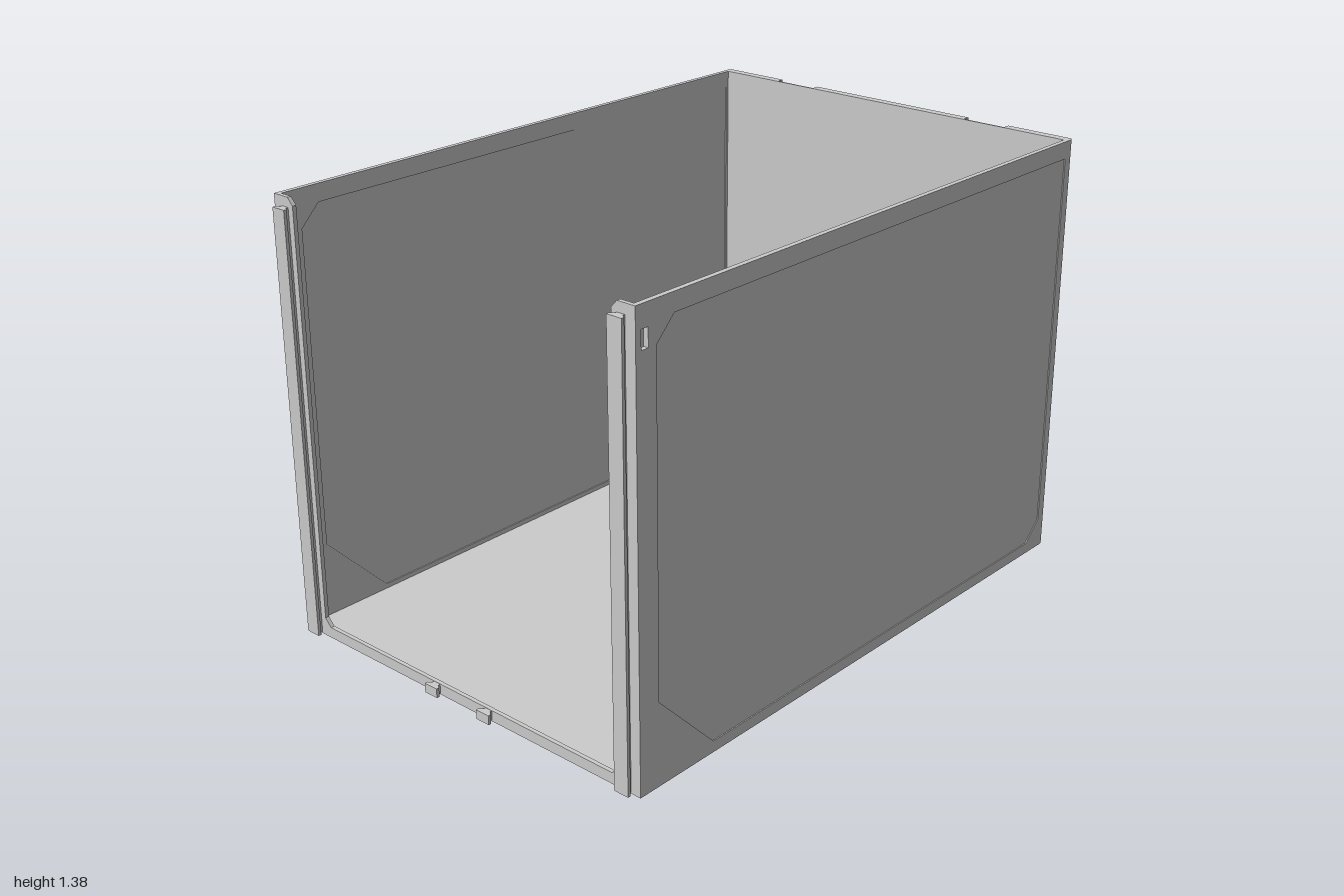
import * as THREE from 'three';

const HX = 0.69, H = 1.385, FRONT = 0.975, BACK = -1;
const mat = new THREE.MeshStandardMaterial({ color: 0xcccccc, flatShading: true });
const smooth = new THREE.MeshStandardMaterial({ color: 0xcccccc });

const toShape = (pts) => new THREE.Shape(pts.map(([a, b]) => new THREE.Vector2(a, b)));
const rect = (x0, x1, y0, y1) => [[x0, y0], [x1, y0], [x1, y1], [x0, y1]];

function add(parent, name, geometry, x = 0, y = 0, z = 0, material = mat) {
  const mesh = new THREE.Mesh(geometry, material);
  mesh.name = name;
  mesh.position.set(x, y, z);
  parent.add(mesh);
  return mesh;
}

function extrude(outline, holes, depth) {
  const shape = toShape(outline);
  for (const hole of holes) shape.holes.push(toShape(hole));
  return new THREE.ExtrudeGeometry(shape, { depth, bevelEnabled: false });
}

function box(parent, name, x0, x1, y0, y1, z0, z1) {
  return add(parent, name, new THREE.BoxGeometry(x1 - x0, y1 - y0, z1 - z0),
    (x0 + x1) / 2, (y0 + y1) / 2, (z0 + z1) / 2);
}

// Pocket liner: four sloping sides and a floor, open towards the back
function pocketGeometry([x0, x1, y0, y1], slope, depth) {
  const rim = rect(x0, x1, y0, y1).map(([x, y]) => [x, y, BACK]);
  const floor = rect(x0 + slope, x1 - slope, y0 + slope, y1 - slope)
    .map(([x, y]) => [x, y, BACK + depth]);
  const tris = [floor[0], floor[2], floor[1], floor[0], floor[3], floor[2]];
  for (let i = 0; i < 4; i++) {
    const j = (i + 1) % 4;
    tris.push(rim[i], floor[j], rim[j], rim[i], floor[i], floor[j]);
  }
  const g = new THREE.BufferGeometry();
  g.setAttribute('position', new THREE.Float32BufferAttribute(tris.flat(), 3));
  g.computeVertexNormals();
  return g;
}

// Dovetail bar, narrow at the panel and wide at its front, extruded upwards
function dovetailGeometry(width, height) {
  const w = width / 2, n = w - 0.012;
  const g = extrude([[-n, -FRONT + 0.002], [n, -FRONT + 0.002], [n, -0.982],
    [w, -0.99], [w, -1], [-w, -1], [-w, -0.99], [-n, -0.982]], [], height);
  return g.rotateX(-Math.PI / 2);
}

export function createModel() {
  const model = new THREE.Group();
  model.name = 'openBin';

  // Floor
  box(model, 'floor', -HX + 0.01, HX - 0.01, 0, 0.02, -0.98, 0.97);

  // Side walls: frame, slightly sunken panel and finger slot
  const wallT = 0.016, panelT = 0.009;
  const panel = [[0.9, 1.265], [0.835, 1.33], [-0.96, 1.33], [-0.96, 0.1],
    [-0.895, 0.035], [0.68, 0.035], [0.9, 0.26]];
  const slot = rect(0.93, 0.955, 1.265, 1.32);
  const frameGeo = extrude(rect(-0.985, 0.965, 0, H), [panel, slot], wallT).rotateY(-Math.PI / 2);
  const panelGeo = extrude(panel, [], panelT).rotateY(-Math.PI / 2);
  for (const side of [1, -1]) {
    const tag = side > 0 ? 'left' : 'right';
    const mid = side * (HX - wallT / 2);
    add(model, tag + 'WallFrame', frameGeo, mid + wallT / 2);
    add(model, tag + 'WallPanel', panelGeo, mid + panelT / 2);
    add(model, tag + 'BackCorner', new THREE.CylinderGeometry(0.015, 0.015, H, 24),
      side * (HX - 0.015), H / 2, -0.985, smooth);
  }

  // Back wall: ribbed frame with two open notches at the top
  const pockets = [
    [0.475, 0.672, 0.02, 1.345], [-0.672, -0.475, 0.02, 1.345],
    [0.3, 0.46, 0.02, 1.165], [-0.46, -0.3, 0.02, 1.165],
    [-0.285, 0.285, 0.02, 1.345],
  ];
  const pocketDepth = 0.024, e = HX - 0.015;
  const outline = [[-e, 0], [e, 0], [e, H], [0.455, H], [0.455, 1.2], [0.305, 1.2], [0.305, H],
    [-0.305, H], [-0.305, 1.2], [-0.455, 1.2], [-0.455, H], [-e, H]];
  add(model, 'backRibs', extrude(outline, pockets.map((p) => rect(...p)), pocketDepth + 0.001), 0, 0, BACK);
  for (const p of pockets) add(model, 'backPocket', pocketGeometry(p, 0.033, pocketDepth));
  box(model, 'backSheet', -e, e, 0, H, BACK + pocketDepth + 0.0005, -0.97);

  // Catch plates inside the notches
  for (const side of [1, -1]) {
    const c = side * 0.38;
    box(model, 'catchPlate', c - 0.076, c + 0.076, 1.19, H - 0.012, -0.986, -0.974);
    box(model, 'catchLedge', c - 0.035, c + 0.035, 1.2, 1.212, -0.998, -0.984);
    box(model, 'catchSideRib', c + 0.06, c + 0.076, 1.2, H - 0.012, -0.994, -0.984);
  }

  // Front flange: U-shaped rim around the opening
  const half = [[HX, 0], [HX, H], [0.63, H], [0.61, H - 0.022], [0.61, 0.06], [0.587, 0.035]];
  const mirrored = half.map(([x, y]) => [-x, y]).reverse();
  add(model, 'frontFlange', extrude([...half, ...mirrored], [[
    [HX - 0.055, 1.262], [HX - 0.054, 1.262], [HX - 0.054, 1.263]]], 0.013), 0, 0, FRONT - 0.013);

  // Front dovetail rails and bottom lugs
  const railGeo = dovetailGeometry(0.05, 1.35);
  const lugGeo = dovetailGeometry(0.05, 0.03);
  for (const side of [1, -1]) {
    add(model, 'frontRail', railGeo, side * 0.643, 0.005, 0);
    add(model, 'frontLug', lugGeo, side * 0.108, 0.004, 0);
  }
  return model;
}
